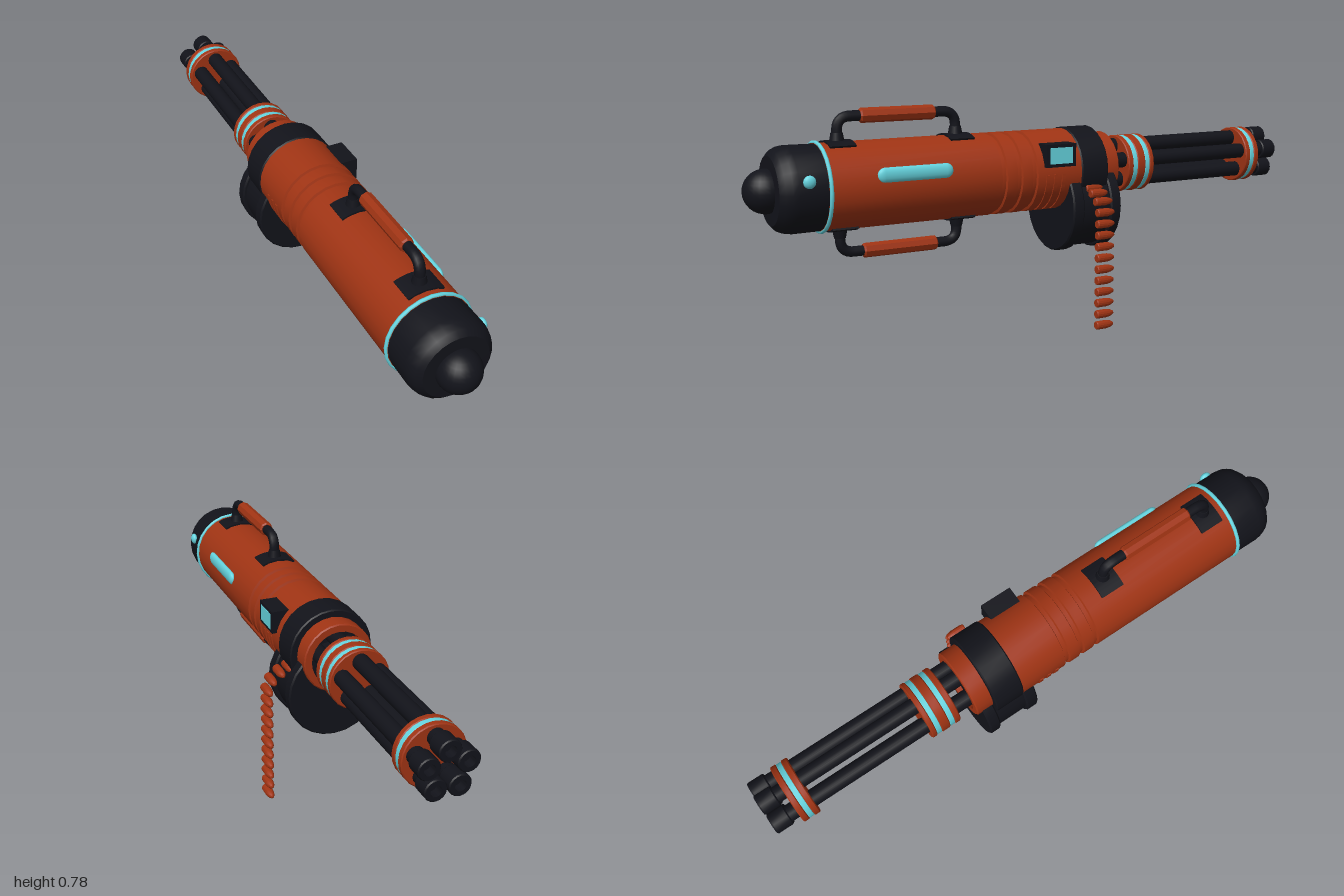
import * as THREE from 'three';
import { toCreasedNormals } from 'three/addons/utils/BufferGeometryUtils.js';

const orange = new THREE.MeshStandardMaterial({ color: 0xa03414 });
const dark = new THREE.MeshStandardMaterial({ color: 0x12131a });
const cyan = new THREE.MeshStandardMaterial({ color: 0x66d5e0 });
const AX = -0.027, AY = 0.537; // main axis of the gun

function add(parent, name, geo, mat, x = 0, y = 0, z = 0) {
  const mesh = new THREE.Mesh(geo, mat);
  mesh.name = name;
  mesh.position.set(x, y, z);
  parent.add(mesh);
  return mesh;
}

// Turned part along z from [radius, z] pairs, z rising
function turned(profile, sides = 24) {
  const geo = new THREE.LatheGeometry(profile.map(([r, z]) => new THREE.Vector2(r, z)), sides);
  return toCreasedNormals(geo.rotateX(Math.PI / 2), 0.5);
}

// Plain closed cylinder along z with a small bevel
function drumShape(r, z0, z1, bevel = 0.004, sides = 24) {
  return turned([[0, z0], [r - bevel, z0], [r, z0 + bevel], [r, z1 - bevel], [r - bevel, z1], [0, z1]], sides);
}

// Curved plate: ring sector in xy, extruded along z
function sector(r0, r1, a0, a1, depth) {
  const s = new THREE.Shape();
  s.absarc(0, 0, r1, a0, a1, false);
  s.absarc(0, 0, r0, a1, a0, true);
  const geo = new THREE.ExtrudeGeometry(s, { depth, bevelEnabled: false, curveSegments: 10 });
  return toCreasedNormals(geo.translate(0, 0, -depth / 2), 0.5);
}

function handle() {
  const g = new THREE.Group();
  const front = 0.7, back = 0.295, top = 0.215, bend = 0.045;
  const v = (y, z) => new THREE.Vector3(0, y, z);
  const path = new THREE.CurvePath();
  path.add(new THREE.LineCurve3(v(0.12, front), v(top - bend, front)));
  path.add(new THREE.QuadraticBezierCurve3(v(top - bend, front), v(top, front), v(top, front - bend)));
  path.add(new THREE.LineCurve3(v(top, front - bend), v(top, back + bend)));
  path.add(new THREE.QuadraticBezierCurve3(v(top, back + bend), v(top, back), v(top - bend, back)));
  path.add(new THREE.LineCurve3(v(top - bend, back), v(0.12, back)));
  add(g, 'handleTube', new THREE.TubeGeometry(path, 60, 0.017, 10), dark);
  add(g, 'handleGrip', drumShape(0.024, 0.37, 0.625, 0.005, 8), orange, 0, top, 0);
  for (const z of [front, back]) {
    add(g, 'handleCollar', new THREE.CylinderGeometry(0.019, 0.025, 0.032, 12), dark, 0, 0.15, z);
    add(g, 'handlePlate', sector(0.13, 0.143, Math.PI / 2 - 0.43, Math.PI / 2 + 0.43, 0.085), dark, 0, 0, z);
  }
  return g;
}

// Barrel clamp: disc with cyan bands around it
function clamp(parent, z0, z1, bands) {
  add(parent, 'barrelClamp', drumShape(0.097, z0, z1), orange);
  const n = bands.length;
  const edges = [z0, ...bands.flatMap((b) => [b - 0.009, b + 0.009]), z1];
  for (let i = 0; i <= n; i++) {
    add(parent, 'clampRib', drumShape(0.101, edges[2 * i], edges[2 * i + 1], 0.003), orange);
  }
  for (const b of bands) add(parent, 'clampBand', drumShape(0.099, b - 0.009, b + 0.009, 0.001), cyan);
}

export function createModel() {
  const model = new THREE.Group();
  const gun = new THREE.Group();
  gun.name = 'gun';
  gun.position.set(AX, AY, 0);
  model.add(gun);

  // Main housing with three grooves
  const R = 0.138, body = [[0, -0.13], [R, -0.13]];
  for (const z of [0.068, 0.125, 0.182]) {
    body.push([R, z - 0.01], [R - 0.008, z - 0.007], [R - 0.008, z + 0.007], [R, z + 0.01]);
  }
  body.push([R, 0.775], [0, 0.775]);
  add(gun, 'housing', turned(body), orange);

  // Rear cap, its glowing ring and the dome
  add(gun, 'endCap', turned([[0.136, 0.77], [0.137, 0.865], [0.134, 0.885], [0.125, 0.905],
    [0.108, 0.92], [0, 0.923]]), dark);
  add(gun, 'endDome', new THREE.SphereGeometry(0.069, 24, 16), dark, 0, 0, 0.931);
  add(gun, 'endRing', new THREE.TorusGeometry(0.139, 0.0065, 8, 24), cyan, 0, 0, 0.769);

  // Collar and hollow barrel socket
  add(gun, 'collar', drumShape(0.142, -0.215, -0.11), dark);
  add(gun, 'barrelSocket', turned([[0.092, -0.21], [0.092, -0.275], [0.114, -0.275], [0.118, -0.271],
    [0.118, -0.21]]), orange);

  // Five barrels with thicker muzzles
  for (let i = 0; i < 5; i++) {
    const a = Math.PI / 2 + (i * Math.PI * 2) / 5;
    const x = 0.063 * Math.cos(a), y = 0.063 * Math.sin(a);
    add(gun, 'barrel', drumShape(0.027, -0.96, -0.2, 0.002, 16), dark, x, y);
    add(gun, 'muzzle', turned([[0, -0.97], [0.018, -0.97], [0.018, -1], [0.032, -1], [0.035, -0.996],
      [0.035, -0.945], [0.032, -0.941], [0, -0.941]], 16), dark, x, y);
  }
  clamp(gun, -0.435, -0.328, [-0.408, -0.358]);
  clamp(gun, -0.915, -0.855, [-0.885]);

  // Handles above and below
  for (const [name, turn] of [['topHandle', 0], ['bottomHandle', Math.PI]]) {
    const h = handle();
    h.name = name;
    h.rotation.z = turn;
    gun.add(h);
  }

  // Vent ribs on both sides
  for (const z of [0.022, -0.008, -0.038]) {
    add(gun, 'ventRib', sector(0.13, 0.141, -1.15, 0, 0.013), orange, 0, 0, z);
    add(gun, 'ventRib', sector(0.13, 0.141, Math.PI, Math.PI + 1.15, 0.013), orange, 0, 0, z);
  }

  // Lights on the left side
  const slot = new THREE.CapsuleGeometry(0.024, 0.206, 8, 16).rotateX(Math.PI / 2).scale(0.5, 1, 1);
  add(gun, 'sideLight', slot, cyan, 0.131, 0.041, 0.493);
  add(gun, 'capLight', new THREE.SphereGeometry(0.02, 16, 12).scale(0.6, 1, 1), cyan, 0.133, 0.038, 0.835);

  // Display box
  add(gun, 'displayBox', new THREE.BoxGeometry(0.065, 0.076, 0.112), dark, 0.1185, 0.064, -0.022);
  add(gun, 'displayScreen', new THREE.BoxGeometry(0.006, 0.054, 0.086), cyan, 0.15, 0.064, -0.022);

  // Ammunition drum: two flanges on a narrower core
  const drum = new THREE.Group();
  drum.name = 'ammoDrum';
  drum.position.set(AX, 0.412, 0);
  model.add(drum);
  add(drum, 'drumCore', drumShape(0.15, -0.23, -0.1), dark);
  add(drum, 'drumFlange', drumShape(0.162, -0.256, -0.215, 0.005), dark);
  add(drum, 'drumFlange', drumShape(0.162, -0.11, -0.066, 0.005), dark);

  // Hanging belt of rounds
  const round = turned([[0, -0.2], [0.006, -0.197], [0.011, -0.187], [0.0145, -0.17], [0.0145, -0.133],
    [0.012, -0.13], [0, -0.13]], 14);
  const spots = [[0.1, 0.478], [0.131, 0.465], [0.16, 0.441]];
  for (let i = 0; i < 11; i++) spots.push([0.174, 0.0155 + i * 0.039]);
  for (const [x, y] of spots) add(model, 'beltRound', round, orange, x, y);

  return model;
}
